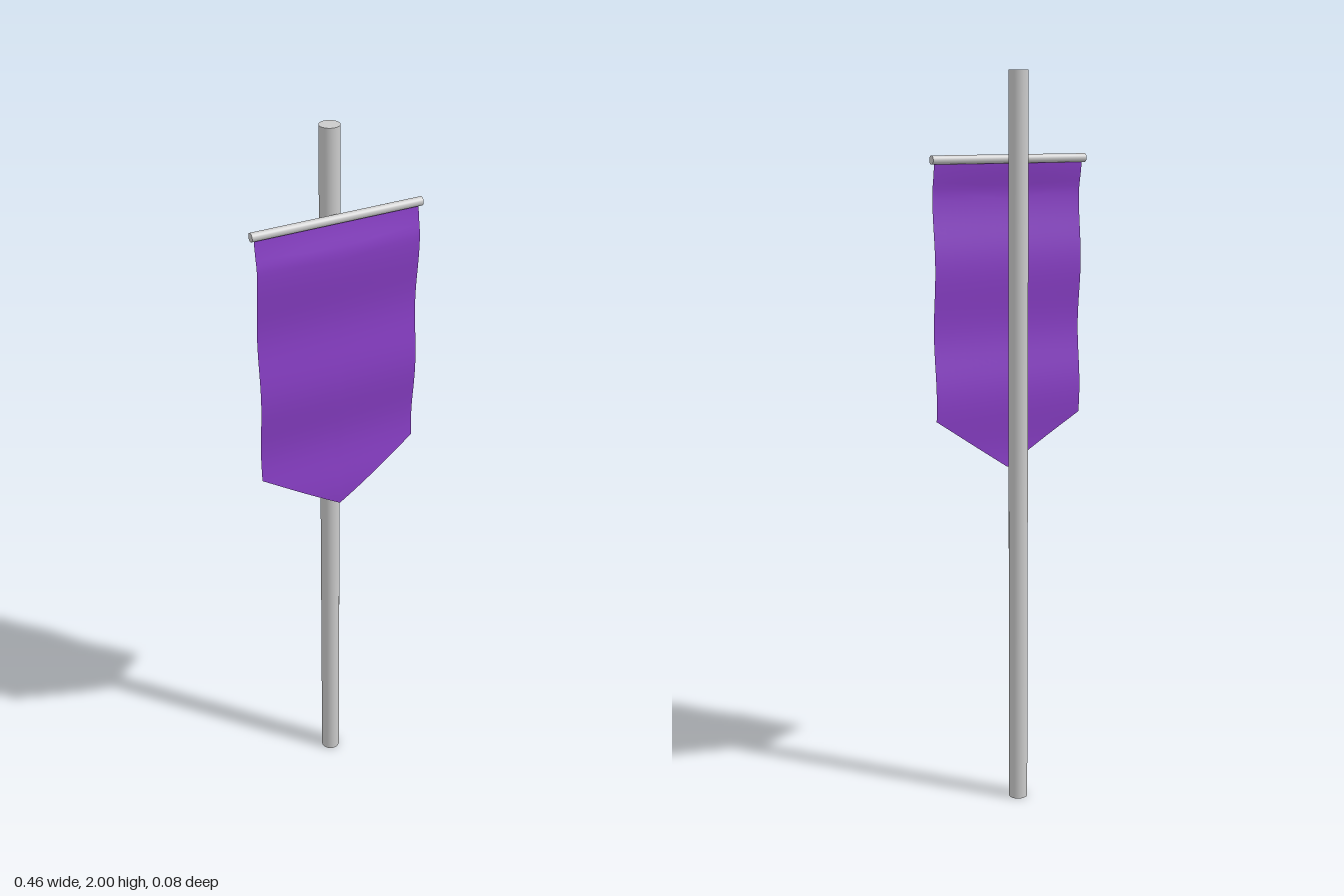
import * as THREE from 'three';

export function createModel() {
  const group = new THREE.Group();
  const grey = new THREE.MeshStandardMaterial({ color: 0xcccccc });
  const purple = new THREE.MeshStandardMaterial({ color: 0x8a3fc8, side: THREE.DoubleSide });

  const add = (name, geometry, material, x, y, z) => {
    const mesh = new THREE.Mesh(geometry, material);
    mesh.name = name;
    mesh.position.set(x, y, z);
    group.add(mesh);
    return mesh;
  };

  // Upright pole
  add('pole', new THREE.CylinderGeometry(0.026, 0.026, 2, 32), grey, -0.003, 1, -0.016);

  // Crossbar resting against the front of the pole
  const bar = add('crossbar', new THREE.CylinderGeometry(0.0115, 0.0115, 0.458, 20), grey, 0, 1.777, 0.022);
  bar.rotation.z = Math.PI / 2;

  // Cloth: a thin rippled sheet with a pointed lower edge
  const halfWidth = 0.221, top = 1.777, tip = 0.95;
  const cloth = new THREE.PlaneGeometry(2, 1, 24, 48);
  const p = cloth.attributes.position;
  for (let i = 0; i < p.count; i++) {
    const u = p.getX(i);
    const v = 0.5 - p.getY(i);
    const corner = u < 0 ? 1.085 : 1.1;
    const bottom = tip + (corner - tip) * Math.abs(u);
    const y = top + (bottom - top) * v;
    // Ripples repeat down the sheet and fade in below the crossbar
    const fade = Math.min(1, (top - y) / 0.08);
    const ripple = 0.008 + 0.006 * Math.cos((2 * Math.PI * (y - 1.68)) / 0.35);
    const belly = 0.003 * (1 - u * u) - 0.001;
    p.setXYZ(i, u * halfWidth, y, 0.022 + fade * (ripple + belly));
  }
  cloth.computeVertexNormals();
  add('bannerCloth', cloth, purple, 0, 0, 0);

  return group;
}
